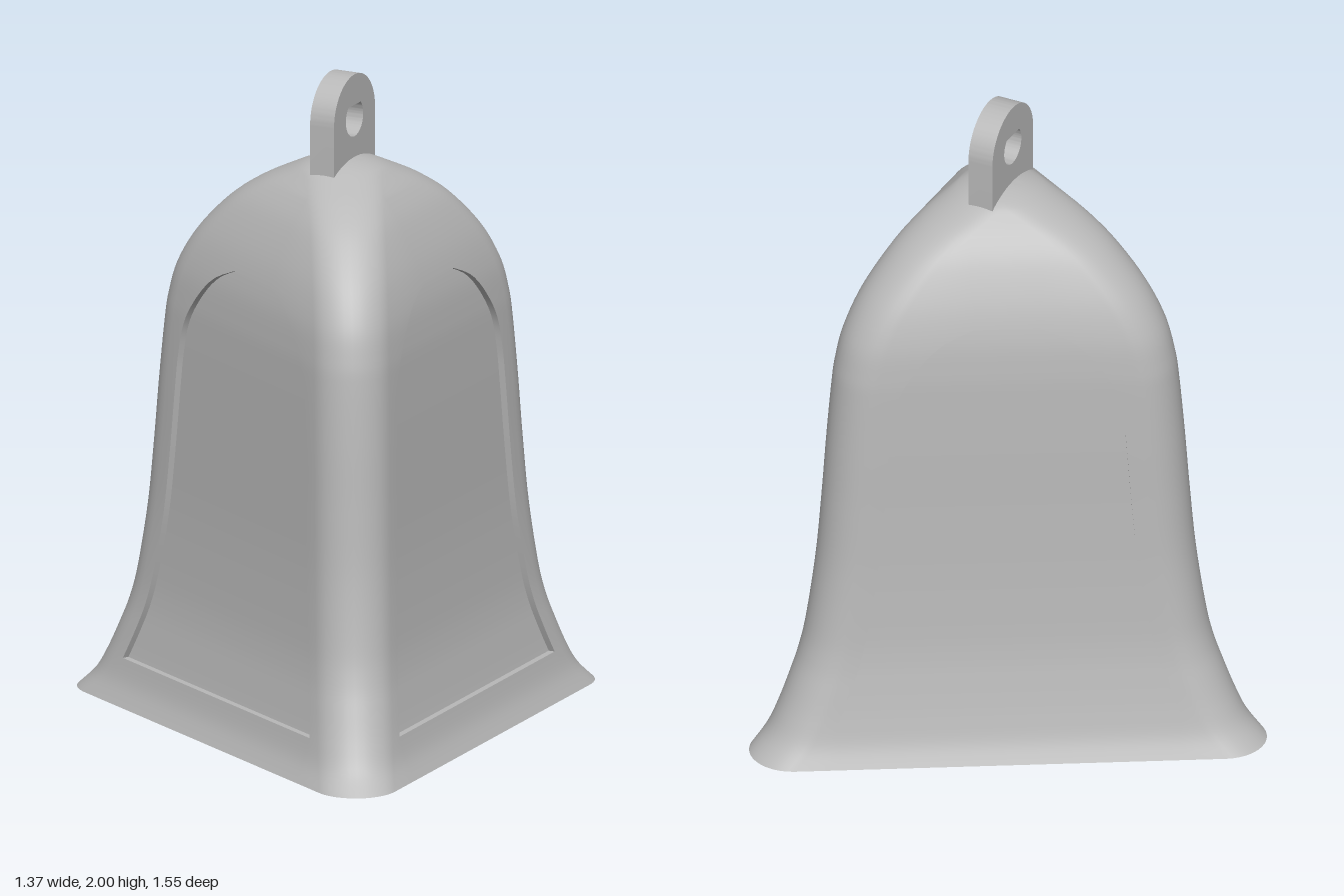
import * as THREE from 'three';
import { toCreasedNormals } from 'three/addons/utils/BufferGeometryUtils.js';

const CENTRE_X = 0.185;          // axis of the triangular bell
const CORNER = 0.13;             // radius of the rounded corners
const ARC = 12;                  // steps around each corner
const DEPTH = 0.02;              // depth of the recessed panels
const PANEL_LOW = 0.13, PANEL_HIGH = 1.41;

const spline = (pts, n) =>
  new THREE.SplineCurve(pts.map(([x, y]) => new THREE.Vector2(x, y))).getSpacedPoints(n);

// Half width of the bell against height
const profile = spline([
  [0.773, 0], [0.72, 0.06], [0.684, 0.13], [0.648, 0.22], [0.62, 0.3], [0.597, 0.4], [0.568, 0.6],
  [0.55, 0.8], [0.535, 1.0], [0.519, 1.18], [0.508, 1.26], [0.482, 1.36], [0.425, 1.47],
  [0.335, 1.58], [0.25, 1.65], [0.165, 1.7], [0.11, 1.727], [0.05, 1.743], [0, 1.746],
], 110);

// Half width of a panel against height
const panelOutline = spline([
  [0.51, 0.13], [0.475, 0.22], [0.445, 0.31], [0.42, 0.42], [0.39, 0.6], [0.371, 0.8], [0.356, 1.0],
  [0.347, 1.1], [0.325, 1.2], [0.27, 1.29], [0.195, 1.365], [0.1, 1.41],
], 120);

function lookup(points, y) {
  if (y <= points[0].y) return points[0].x;
  for (let i = 1; i < points.length; i++) {
    const a = points[i - 1], b = points[i];
    if (y <= b.y) return a.x + (b.x - a.x) * (y - a.y) / (b.y - a.y);
  }
  return points[points.length - 1].x;
}

// Point on side k of the triangle, from its own frame (out, along) to the world
function place(k, out, along, y) {
  const a = k * Math.PI * 2 / 3, c = Math.cos(a), s = Math.sin(a);
  return [CENTRE_X + out * c - along * s, y, out * s + along * c];
}

// Rounded triangle: s is half the straight side, r the corner radius, p the panel half width.
// Each side holds -s, -p, p and then the corner arc.
function ring(s, r, y, p = 0.1) {
  const pts = [], q = Math.min(p, s), inner = s / Math.sqrt(3);
  for (let k = 0; k < 3; k++) {
    for (const u of [-s, -q, q]) pts.push(place(k, inner + r, u, y));
    for (let j = 0; j < ARC; j++) {
      const a = j / ARC * Math.PI * 2 / 3;
      pts.push(place(k, inner + r * Math.cos(a), s + r * Math.sin(a), y));
    }
  }
  return pts;
}

// The two floor corners of the panel on side k at one height
const floorPair = (k, l) =>
  [-l.p, l.p].map((u) => place(k, l.s / Math.sqrt(3) + l.r - DEPTH, u, l.y));

function bellGeometry() {
  const pos = [];
  const quad = (a, b, c, d) => pos.push(...a, ...b, ...c, ...a, ...c, ...d);
  const side = 3 + ARC, count = 3 * side;

  // Heights, with exact rows at the panel's bottom and top
  const heights = profile.map((v) => v.y)
    .filter((y) => Math.abs(y - PANEL_LOW) > 0.004 && Math.abs(y - PANEL_HIGH) > 0.004);
  heights.push(PANEL_LOW, PANEL_HIGH);
  heights.sort((a, b) => a - b);
  const levels = heights.map((y) => {
    const w = Math.max(lookup(profile, y), 0);
    const r = Math.min(CORNER, w), s = w - r;
    const p = lookup(panelOutline, y);
    return { y, s, r, p, pts: ring(s, r, y, p) };
  });

  // Outer wall with three recessed panels
  for (let i = 0; i + 1 < levels.length; i++) {
    const lo = levels[i], hi = levels[i + 1];
    const recessed = lo.y >= PANEL_LOW && hi.y <= PANEL_HIGH;
    for (let j = 0; j < count; j++) {
      const n = (j + 1) % count, k = Math.floor(j / side);
      if (!recessed || j % side !== 1) {
        quad(lo.pts[j], hi.pts[j], hi.pts[n], lo.pts[n]);
        continue;
      }
      const low = [lo.pts[j], ...floorPair(k, lo), lo.pts[n]];
      const high = [hi.pts[j], ...floorPair(k, hi), hi.pts[n]];
      for (let m = 0; m < 3; m++) quad(low[m], high[m], high[m + 1], low[m + 1]);
      if (lo.y === PANEL_LOW) quad(...low);
      if (hi.y === PANEL_HIGH) quad(...high.slice().reverse());
    }
  }

  // Hollow inside
  const inside = levels.map((l) => ring(l.s * 0.89, l.r * 0.62, l.y * 0.95));
  for (let i = 0; i + 1 < inside.length; i++) {
    for (let j = 0; j < count; j++) {
      const n = (j + 1) % count;
      quad(inside[i][n], inside[i + 1][n], inside[i + 1][j], inside[i][j]);
    }
  }

  // Flat rim underneath
  for (let j = 0; j < count; j++) {
    const n = (j + 1) % count;
    quad(levels[0].pts[j], levels[0].pts[n], inside[0][n], inside[0][j]);
  }

  const geo = new THREE.BufferGeometry();
  geo.setAttribute('position', new THREE.Float32BufferAttribute(pos, 3));
  return toCreasedNormals(geo, Math.PI / 5);
}

// Upright tab with a rounded top and a teardrop hole
function loopGeometry() {
  const half = 0.135, eye = 1.865, hole = 0.057, thick = 0.08;
  const shape = new THREE.Shape();
  shape.moveTo(-half, 1.705);
  shape.lineTo(half, 1.705);
  shape.lineTo(half, eye);
  shape.absarc(0, eye, half, 0, Math.PI, false);
  shape.closePath();
  const drop = new THREE.Path();
  drop.moveTo(0, eye + 0.08);
  drop.absarc(0, eye, hole, Math.PI * 0.75, Math.PI * 2.25, false);
  drop.closePath();
  shape.holes.push(drop);
  const geo = new THREE.ExtrudeGeometry(shape, { depth: thick, bevelEnabled: false, curveSegments: 32 });
  geo.translate(0, 0, -thick / 2);
  geo.rotateY(Math.PI / 2);
  geo.translate(CENTRE_X, 0, 0);
  return toCreasedNormals(geo, Math.PI / 6);
}

export function createModel() {
  const grey = new THREE.MeshStandardMaterial({ color: 0xb8b8b8 });
  grey.name = 'plain grey';
  const model = new THREE.Group();
  model.name = 'triangularBell';
  for (const [name, geo] of [['bellBody', bellGeometry()], ['hangingLoop', loopGeometry()]]) {
    const mesh = new THREE.Mesh(geo, grey);
    mesh.name = name;
    model.add(mesh);
  }
  return model;
}
